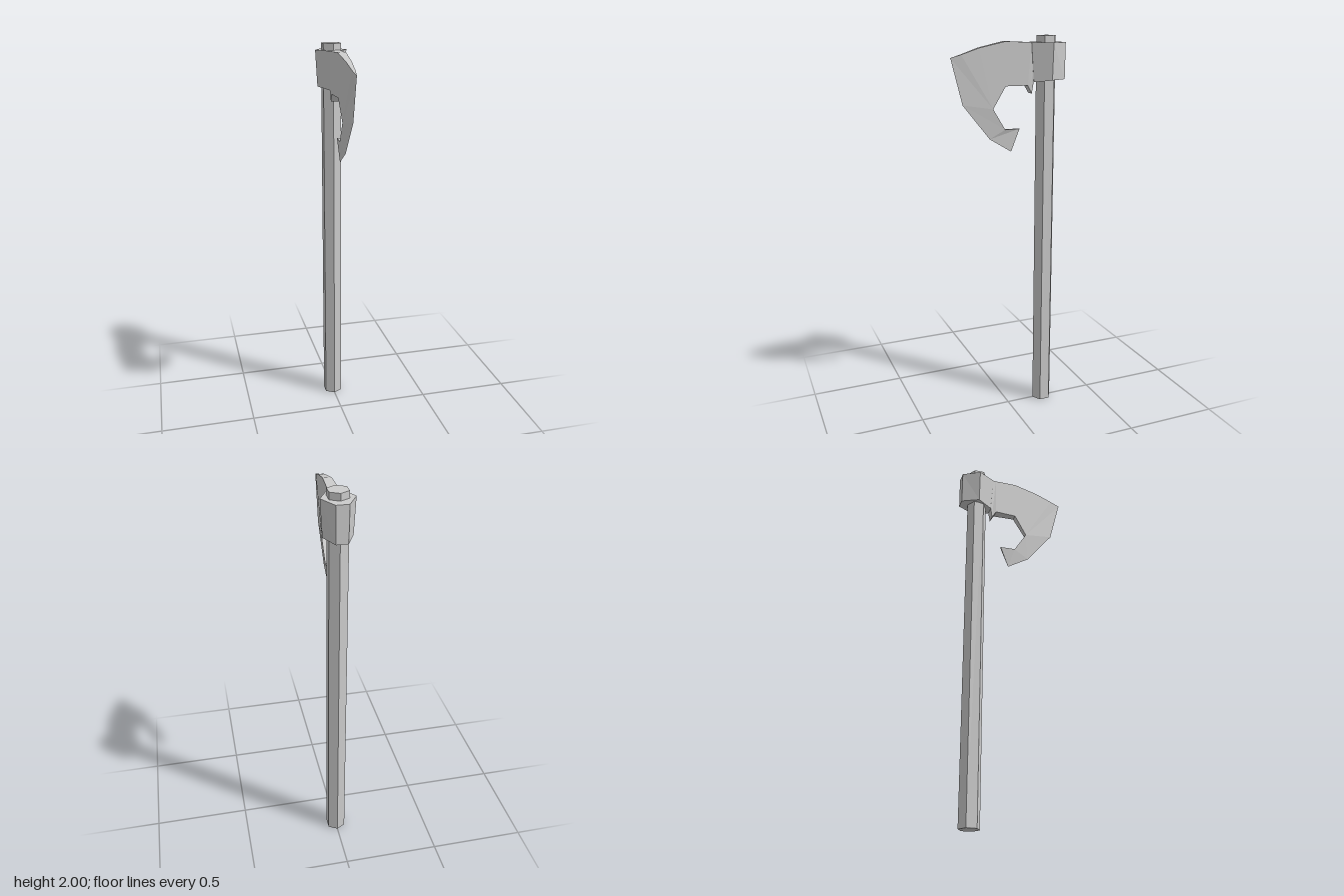
import * as THREE from 'three';

const material = new THREE.MeshStandardMaterial({ color: 0xcccccc, flatShading: true });

// Skin a run of equal-sized rings of points and close both ends.
function loft(rings) {
  const pos = [];
  const tri = (...pts) => pts.forEach((p) => pos.push(...p));
  const n = rings[0].length;
  for (let i = 0; i < rings.length - 1; i++) {
    const a = rings[i], b = rings[i + 1];
    for (let k = 0; k < n; k++) {
      const m = (k + 1) % n;
      tri(a[k], a[m], b[k]);
      tri(a[m], b[m], b[k]);
    }
  }
  const first = rings[0], last = rings[rings.length - 1];
  for (let k = 1; k < n - 1; k++) {
    tri(first[0], first[k + 1], first[k]);
    tri(last[0], last[k], last[k + 1]);
  }
  const g = new THREE.BufferGeometry();
  g.setAttribute('position', new THREE.Float32BufferAttribute(pos, 3));
  g.computeVertexNormals();
  return g;
}

// Six-sided collar ring: half widths and depths of the back, side and front corners.
function collarRing(y, yFront, back, side, front, zFront) {
  return [
    [side, y, -0.208], [back, y, -0.297], [-back, y, -0.297],
    [-side, y, -0.208], [-front, yFront, zFront], [front, yFront, zFront],
  ];
}

export function createModel() {
  const group = new THREE.Group();
  const add = (name, geometry) => {
    const mesh = new THREE.Mesh(geometry, material);
    mesh.name = name;
    group.add(mesh);
    return mesh;
  };

  // Hexagonal shaft
  add('shaft', new THREE.CylinderGeometry(0.053, 0.053, 2, 6)).position.set(0, 1, -0.203);

  // Collar around the shaft, tapering downwards
  add('collar', loft([
    collarRing(1.785, 1.775, 0.028, 0.071, 0.025, -0.128),
    collarRing(1.966, 1.968, 0.031, 0.081, 0.027, -0.113),
  ]));

  // Hooked blade: outer [z, y, half width] and inner [z, y, half width] at each station
  const stations = [
    [[-0.16, 1.95, 0.02], [-0.16, 1.8, 0.02]],
    [[-0.122, 1.966, 0.026], [-0.127, 1.775, 0.024]],
    [[-0.113, 1.968, 0.027], [-0.118, 1.72, 0.022]],
    [[-0.1, 1.968, 0.026], [-0.095, 1.76, 0.024]],
    [[0.02, 1.974, 0.021], [0.02, 1.76, 0.018]],
    [[0.155, 1.945, 0.014], [0.02, 1.76, 0.018]],
    [[0.245, 1.915, 0.008], [0.085, 1.65, 0.013]],
    [[0.297, 1.9, 0], [0.085, 1.65, 0.013]],
    [[0.24, 1.675, 0], [0.085, 1.65, 0.013]],
    [[0.1, 1.5, 0], [0.02, 1.545, 0.01]],
    [[-0.016, 1.43, 0], [-0.06, 1.545, 0.005]],
  ];
  add('blade', loft(stations.map(([[zo, yo, wo], [zi, yi, wi]]) => [
    [wo, yo, zo], [-wo, yo, zo], [-wi, yi, zi], [wi, yi, zi],
  ])));

  return group;
}
